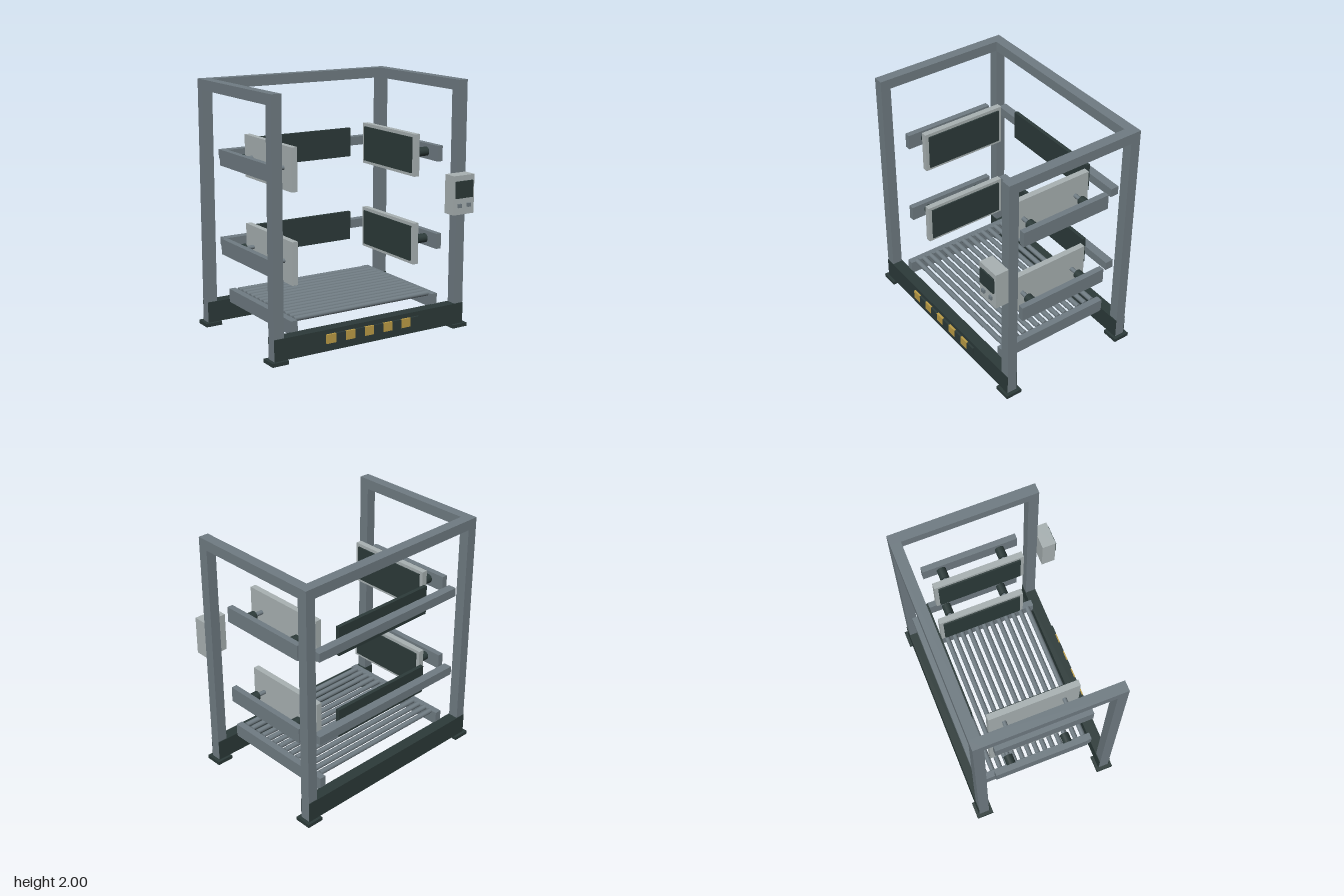
import * as THREE from 'three';

const material = (name, color) => {
  const m = new THREE.MeshStandardMaterial({ color });
  m.name = name;
  return m;
};

export function createModel() {
  const steel = material('steel grey', 0x707c83);
  const dark = material('dark green grey', 0x2c3a39);
  const light = material('light grey', 0xa9b2b3);
  const yellow = material('warning yellow', 0xbc9c45);

  const model = new THREE.Group();
  model.name = 'pressFrame';

  // Box given by its low and high limits on each axis
  const box = (name, mat, [x0, x1], [y0, y1], [z0, z1]) => {
    const mesh = new THREE.Mesh(new THREE.BoxGeometry(x1 - x0, y1 - y0, z1 - z0), mat);
    mesh.position.set((x0 + x1) / 2, (y0 + y1) / 2, (z0 + z1) / 2);
    mesh.name = name;
    model.add(mesh);
    return mesh;
  };
  // Cylinder lying along x
  const rod = (name, mat, x0, x1, y, z, r) => {
    const geo = new THREE.CylinderGeometry(r, r, Math.abs(x1 - x0), 20).rotateZ(Math.PI / 2);
    const mesh = new THREE.Mesh(geo, mat);
    mesh.position.set((x0 + x1) / 2, y, z);
    mesh.name = name;
    model.add(mesh);
    return mesh;
  };
  // Range on one side of the model, mirrored for s = -1
  const side = (s, a, b) => (s > 0 ? [a, b] : [-b, -a]);

  const frontZ = 0.491, backZ = -0.594, midZ = -0.052;

  // Posts, feet and bottom beams
  for (const z of [frontZ, backZ]) {
    for (const s of [-1, 1]) {
      box('post', steel, side(s, 0.788, 0.871), [0, 2], [z - 0.042, z + 0.042]);
      box('foot', dark, side(s, 0.76, 0.899), [0.001, 0.03], [z - 0.069, z + 0.069]);
    }
    box('bottomBeam', dark, [-0.87, 0.87], [0.03, 0.2], [z - 0.047, z + 0.047]);
  }

  // Top frame, open at the front
  box('topBackBeam', steel, [-0.788, 0.788], [1.917, 2], [backZ - 0.042, backZ + 0.042]);
  for (const s of [-1, 1]) {
    box('topSideBeam', steel, side(s, 0.788, 0.871), [1.917, 2], [backZ + 0.042, frontZ - 0.042]);
  }

  // Roller bed
  for (const s of [-1, 1]) {
    box('rollerRail', steel, side(s, 0.62, 0.676), [0.175, 0.285], [-0.551, 0.449]);
  }
  for (let i = 0; i < 14; i++) {
    rod('roller', steel, -0.622, 0.622, 0.281, -0.488 + i * 0.0677, 0.021);
  }

  // Two clamp levels: side beams, actuators, side pads and back stop
  for (const y of [0.68, 1.397]) {
    for (const s of [-1, 1]) {
      box('sideBeam', steel, side(s, 0.742, 0.79), [y - 0.063, y + 0.063], [midZ - 0.392, midZ + 0.392]);
      for (const z of [midZ - 0.242, midZ + 0.242]) {
        rod('actuatorBody', dark, s * 0.655, s * 0.745, y, z, 0.037);
        rod('actuatorRod', steel, s * 0.575, s * 0.66, y, z, 0.017);
      }
      box('clampPlate', light, side(s, 0.534, 0.582), [y - 0.169, y + 0.169], [midZ - 0.365, midZ + 0.365]);
      box('clampPad', dark, side(s, 0.522, 0.534), [y - 0.143, y + 0.143], [midZ - 0.335, midZ + 0.335]);
    }
    box('backBeam', steel, [-0.72, 0.72], [y - 0.036, y + 0.036], [-0.6, -0.53]);
    box('backPad', dark, [-0.462, 0.462], [y - 0.12, y + 0.12], [-0.53, -0.499]);
  }

  // Alternating warning tiles on the front beam
  for (let i = 0; i < 10; i++) {
    const x = -0.387 + i * 0.0858;
    box('warningTile', i % 2 ? dark : yellow, [x - 0.041, x + 0.041], [0.094, 0.165], [0.538, 0.555]);
  }

  // Control panel on the left front post
  box('controlBox', light, [0.672, 0.871], [0.962, 1.273], [0.533, 0.645]);
  box('controlScreen', dark, [0.687, 0.852], [1.094, 1.229], [0.645, 0.657]);
  for (const x of [0.725, 0.816]) {
    box('controlButton', steel, [x - 0.016, x + 0.016], [1.02, 1.05], [0.645, 0.661]);
  }

  return model;
}
